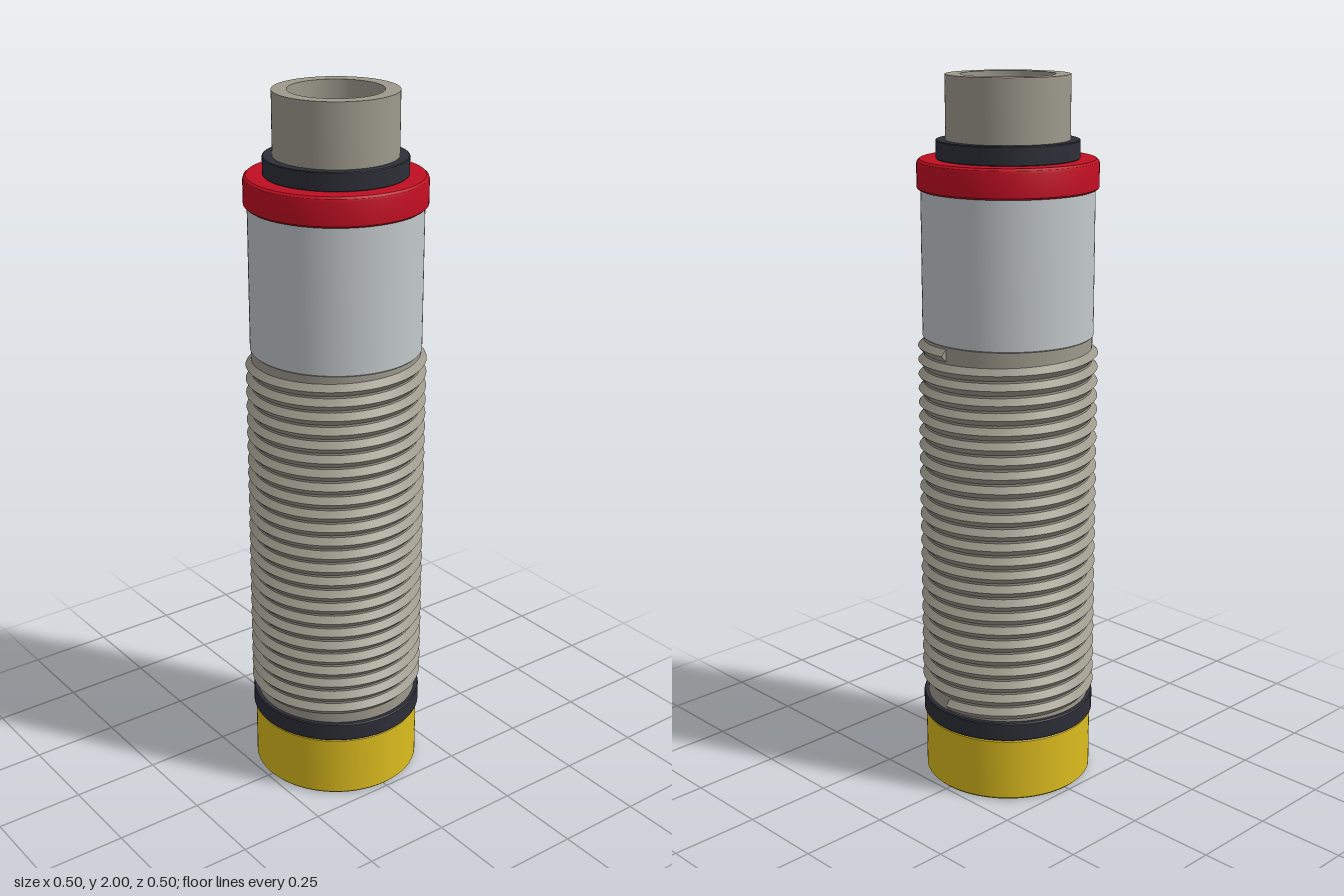
import * as THREE from 'three';
import { toCreasedNormals } from 'three/addons/utils/BufferGeometryUtils.js';

const material = (name, color) => {
  const m = new THREE.MeshStandardMaterial({ color });
  m.name = name;
  return m;
};

// Solid of revolution from [radius, height] points, with sharp edges kept
function turned(name, points, mat) {
  const profile = points.map(([r, y]) => new THREE.Vector2(r, y));
  const mesh = new THREE.Mesh(toCreasedNormals(new THREE.LatheGeometry(profile, 96), 0.5), mat);
  mesh.name = name;
  return mesh;
}

// Closed disc-like body with a small bevel on both rims
const bevelled = (r, y0, y1, b) =>
  [[0, y0], [r - b, y0], [r, y0 + b], [r, y1 - b], [r - b, y1], [0, y1]];

// Right-handed helical ridge with a triangular cross-section
function threadGeometry(rootR, crestR, y0, y1, turns) {
  const perTurn = 72, steps = perTurn * turns, half = 0.0195;
  const section = [[rootR, -half], [crestR, 0], [rootR, half]];
  const pos = [], index = [];
  for (let i = 0; i <= steps; i++) {
    const a = (i / perTurn) * Math.PI * 2;
    const y = y0 + (y1 - y0) * i / steps;
    for (const [r, dy] of section) pos.push(r * Math.cos(a), y + dy, -r * Math.sin(a));
  }
  for (let i = 0; i < steps; i++) {
    for (let k = 0; k < 2; k++) {
      const a = i * 3 + k, b = a + 3;
      index.push(a, b, b + 1, a, b + 1, a + 1);
    }
  }
  const e = steps * 3;
  index.push(0, 1, 2, e, e + 2, e + 1); // end caps
  const g = new THREE.BufferGeometry();
  g.setAttribute('position', new THREE.Float32BufferAttribute(pos, 3));
  g.setIndex(index);
  return toCreasedNormals(g, 0.5);
}

export function createModel() {
  const yellow = material('yellow plastic', 0xdcbc1e);
  const dark = material('dark rubber', 0x2d2e37);
  const metal = material('nickel metal', 0x9d998c);
  const silver = material('light grey metal', 0xc2c8ca);
  const red = material('red plastic', 0xc00e22);

  const model = new THREE.Group();
  model.name = 'threadedSensor';

  // Stacked body, from sensing face to plug
  model.add(
    turned('sensingCap', bevelled(0.239, 0, 0.186, 0.006), yellow),
    turned('lowerSeal', bevelled(0.245, 0.186, 0.24, 0.003), dark),
    turned('threadCore', [[0, 0.24], [0.232, 0.24], [0.232, 1.3], [0, 1.3]], metal),
    turned('smoothSleeve', bevelled(0.235, 1.3, 1.705, 0.003), silver),
    turned('indicatorRing', [[0, 1.7], [0.24, 1.7], [0.245, 1.705], [0.245, 1.768],
      [0.243, 1.775], [0.237, 1.78], [0, 1.78]], red),
    turned('upperCollar', bevelled(0.193, 1.78, 1.83, 0.002), dark),
    turned('plugSleeve', [[0.167, 1.83], [0.167, 2], [0.127, 2], [0.127, 1.83]], metal)
  );

  // Screw thread
  const thread = new THREE.Mesh(threadGeometry(0.23, 0.248, 0.26, 1.277, 25), metal);
  thread.name = 'screwThread';
  model.add(thread);

  // Contact pins inside the plug
  const pinGeometry = new THREE.CylinderGeometry(0.013, 0.013, 0.13, 24);
  for (const x of [-1, 1]) {
    for (const z of [-1, 1]) {
      const pin = new THREE.Mesh(pinGeometry, metal);
      pin.name = 'contactPin';
      pin.position.set(x * 0.049, 1.893, z * 0.049);
      model.add(pin);
    }
  }
  return model;
}
